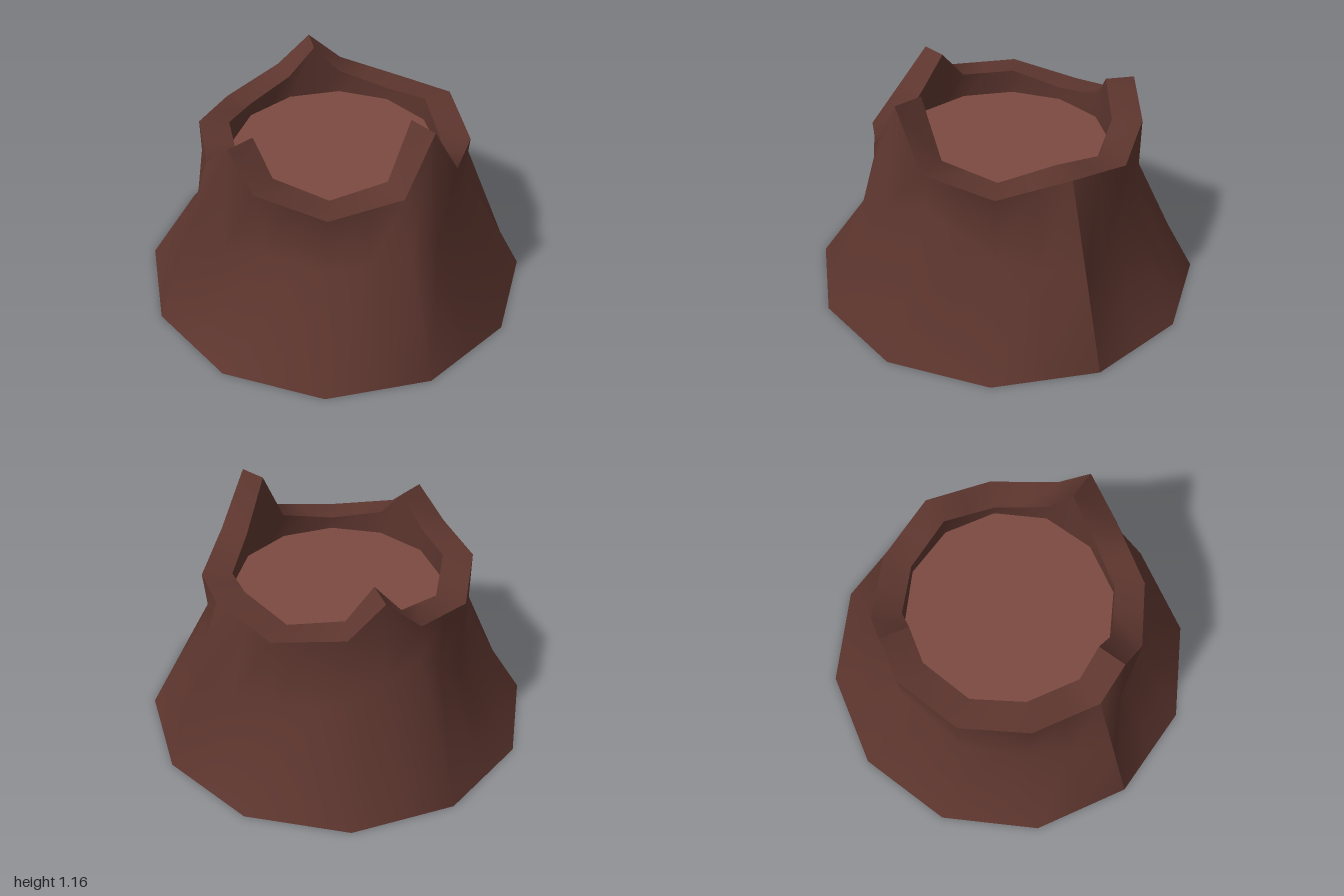
import * as THREE from 'three';

const bark = new THREE.MeshStandardMaterial({ color: 0x5c352e, side: THREE.DoubleSide });
bark.name = 'dark brown';
const heart = new THREE.MeshStandardMaterial({ color: 0x7d4a40, side: THREE.DoubleSide });
heart.name = 'light brown';

// Twelve corners, starting 8 degrees round from +x towards +z
const START = 8, STEP = 30, FLOOR = 0.75;
const rimHeights = [0.88, 0.88, 0.815, 0.88, 0.88, 0.88, 0.82, 0.88, 0.88, 0.82, 0.88, 0.815];
// Waist of the wall below each corner: [radius, height]
const waist = [
  [0.65, 0.67], [0.772, 0.6], [0.662, 0.48], [0.617, 0.46], [0.848, 0.44], [0.685, 0.36],
  [0.685, 0.41], [0.685, 0.68], [0.685, 0.5], [0.685, 0.41], [0.848, 0.44], [0.655, 0.46],
];
// Spikes halfway along a rim edge: corner index -> height
const spikes = { 0: 1.16, 3: 1.04, 7: 1.04 };

function corner(i, r, y) {
  const a = THREE.MathUtils.degToRad(START + STEP * i);
  return new THREE.Vector3(r * Math.cos(a), y, r * Math.sin(a));
}

// Loop of 24 points: the corners and the middles of the edges between them
function ring(radius, height, peaks = {}) {
  const points = [];
  for (let i = 0; i < 12; i++) {
    const j = (i + 1) % 12;
    const a = corner(i, radius(i), height(i));
    const mid = a.clone().lerp(corner(j, radius(j), height(j)), 0.5);
    if (peaks[i]) mid.y = peaks[i];
    points.push(a, mid);
  }
  return points;
}

// Skin between successive rings, over a range of the 24 columns
function skin(rings, from, count) {
  const pos = [], index = [];
  for (const loop of rings) {
    for (let k = 0; k <= count; k++) pos.push(...loop[(from + k) % 24].toArray());
  }
  const w = count + 1;
  for (let r = 0; r < rings.length - 1; r++) {
    for (let k = 0; k < count; k++) {
      const a = r * w + k, b = a + 1, c = a + w, d = c + 1;
      index.push(a, c, b, b, c, d);
    }
  }
  const geo = new THREE.BufferGeometry();
  geo.setAttribute('position', new THREE.Float32BufferAttribute(pos, 3));
  geo.setIndex(index);
  return geo;
}

function add(group, name, geo, material) {
  geo.computeVertexNormals();
  const mesh = new THREE.Mesh(geo, material);
  mesh.name = name;
  group.add(mesh);
}

export function createModel() {
  const group = new THREE.Group();
  group.name = 'stump';

  const base = ring(() => 1.01, () => 0);
  const middle = ring(i => waist[i][0], i => waist[i][1]);
  const rimOuter = ring(() => 0.685, i => rimHeights[i], spikes);
  const rimInner = ring(() => 0.532, i => rimHeights[i], spikes);
  const floor = ring(() => 0.532, () => FLOOR);

  // Below the tall spike the wall follows a straight slanting ridge
  middle[1].lerpVectors(base[0], rimOuter[2], 0.68);

  // Flared wall in two smooth halves that meet at two sharp creases
  add(group, 'frontWall', skin([base, middle, rimOuter], 20, 12), bark);
  add(group, 'backWall', skin([base, middle, rimOuter], 8, 12), bark);

  // Broken rim and the inside of the hollow, smooth from spike to spike
  for (const [from, count] of [[1, 6], [7, 8], [15, 10]]) {
    add(group, 'rim', skin([rimOuter, rimInner], from, count), bark);
    add(group, 'innerWall', skin([rimInner, floor], from, count), bark);
  }

  // Flat floor of the hollow
  const disc = new THREE.CircleGeometry(0.532, 12);
  disc.rotateX(-Math.PI / 2);
  disc.rotateY(-THREE.MathUtils.degToRad(START));
  disc.translate(0, FLOOR, 0);
  add(group, 'heartwood', disc, heart);

  return group;
}
